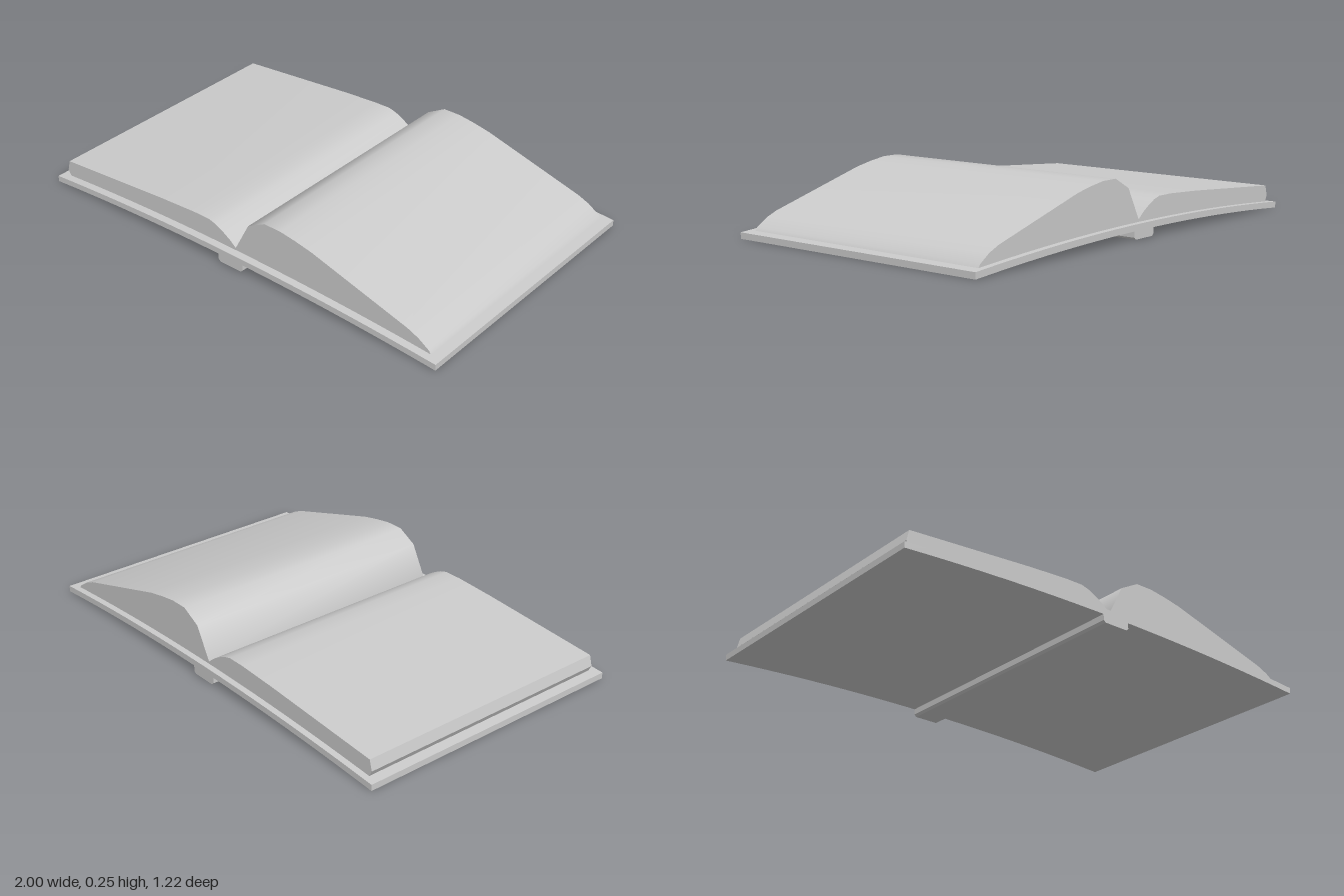
import * as THREE from 'three';
import { toCreasedNormals } from 'three/addons/utils/BufferGeometryUtils.js';

const material = new THREE.MeshStandardMaterial({ color: 0xcccccc });

// Gentle arch of the cover's upper face
const coverTop = (x) => 0.065 - 0.039 * x * x;

// Points along the arch from x0 to x1, shifted vertically
function arch(x0, x1, steps, drop) {
  const points = [];
  for (let i = 0; i <= steps; i++) {
    const x = x0 + ((x1 - x0) * i) / steps;
    points.push([x, coverTop(x) - drop]);
  }
  return points;
}

// Extrude an xy outline from the back z to the front z
function slab(name, outline, back, front) {
  const shape = new THREE.Shape(outline.map(([x, y]) => new THREE.Vector2(x, y)));
  const geometry = new THREE.ExtrudeGeometry(shape, { depth: front - back, bevelEnabled: false });
  geometry.translate(0, 0, back);
  const mesh = new THREE.Mesh(toCreasedNormals(geometry, 0.65), material);
  mesh.name = name;
  return mesh;
}

export function createModel() {
  const book = new THREE.Group();
  book.name = 'openBook';

  // Arched cover boards
  book.add(slab('cover', [...arch(-1, 1, 20, 0.026), ...arch(1, -1, 20, 0)], -0.61, 0.61));

  // Raised spine strip beneath the cover, with chamfered lower edges
  book.add(slab('spine', [
    [-0.063, 0.045], [-0.063, 0.014], [-0.053, 0.005],
    [0.055, 0.005], [0.065, 0.014], [0.065, 0.045],
  ], -0.61, 0.61));

  // Thinner page block, on the model's right
  book.add(slab('rightPages', [
    ...arch(-0.955, 0, 10, 0.003),
    [0, 0.075], [-0.03, 0.1], [-0.07, 0.125], [-0.105, 0.142], [-0.14, 0.152],
    [-0.22, 0.152], [-0.4, 0.142], [-0.958, 0.1], [-0.97, 0.055],
  ], -0.583, 0.576));

  // Thicker page block, on the model's left
  book.add(slab('leftPages', [
    ...arch(0, 0.955, 10, 0.003),
    [0.945, 0.042], [0.895, 0.075], [0.845, 0.096], [0.39, 0.226],
    [0.31, 0.242], [0.235, 0.253], [0.155, 0.253], [0.07, 0.207], [0, 0.075],
  ], -0.583, 0.576));

  return book;
}
